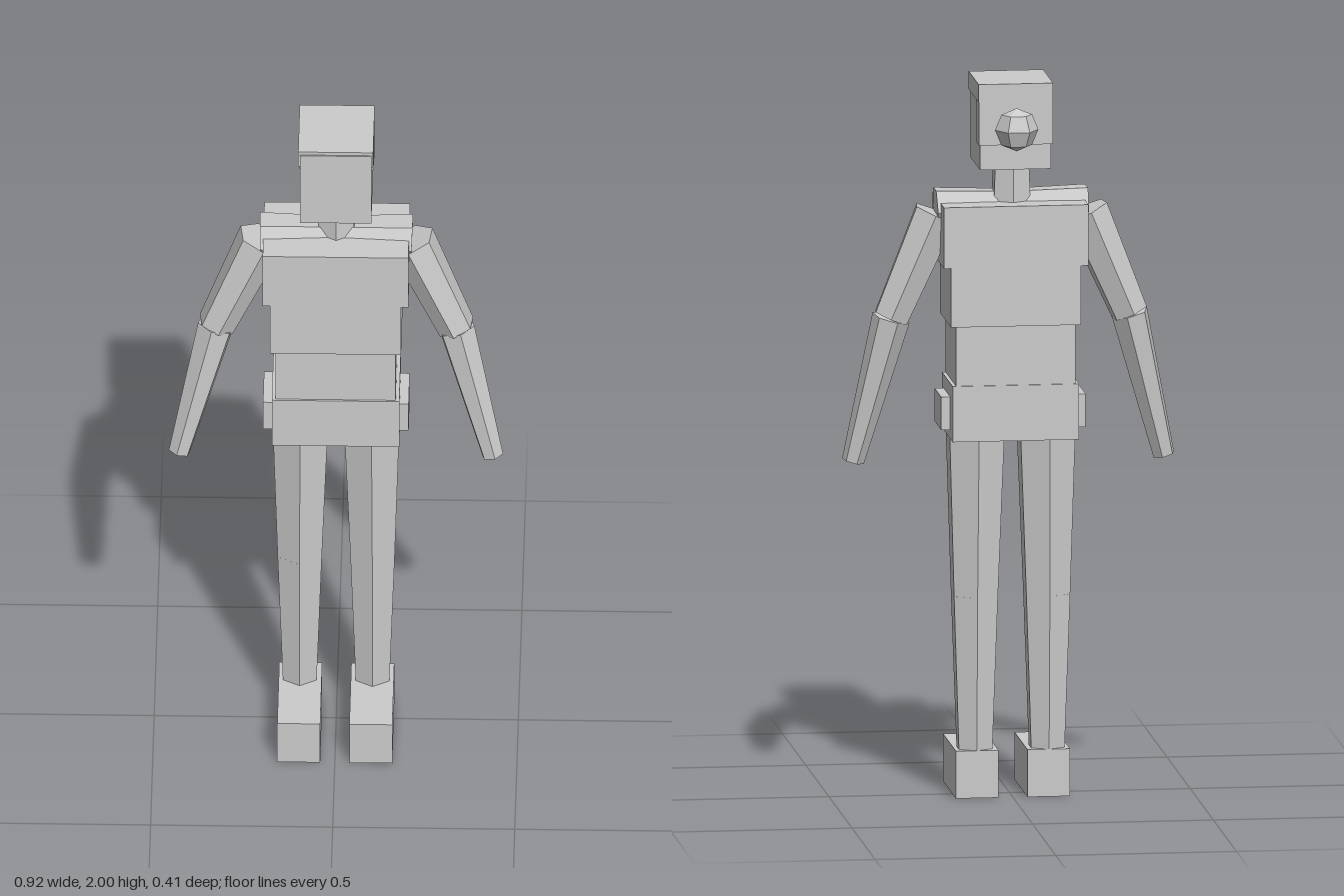
import * as THREE from 'three';

export function createModel() {
  const model = new THREE.Group();
  const grey = new THREE.MeshStandardMaterial({ color: 0xcccccc, flatShading: true });
  grey.name = 'light grey';

  const add = (name, geometry) => {
    const mesh = new THREE.Mesh(geometry, grey);
    mesh.name = name;
    model.add(mesh);
    return mesh;
  };

  // Box given by its [min, max] range on each axis
  const box = (name, [x0, x1], [y0, y1], [z0, z1]) =>
    add(name, new THREE.BoxGeometry(x1 - x0, y1 - y0, z1 - z0))
      .position.set((x0 + x1) / 2, (y0 + y1) / 2, (z0 + z1) / 2);

  // Tapered six-sided limb from a (radius ra) to b (radius rb), an edge facing front
  const limb = (name, a, ra, b, rb) => {
    const start = new THREE.Vector3(...a);
    const end = new THREE.Vector3(...b);
    const axis = end.clone().sub(start);
    const mesh = add(name, new THREE.CylinderGeometry(rb, ra, axis.length(), 6));
    mesh.position.copy(start).add(end).multiplyScalar(0.5);
    mesh.quaternion.setFromUnitVectors(new THREE.Vector3(0, 1, 0), axis.normalize());
  };

  // Head with hair slabs and bun
  box('head', [-0.098, 0.098], [1.76, 1.99], [-0.13, 0.082]);
  box('hairTop', [-0.103, 0.103], [1.95, 2], [-0.138, 0.078]);
  box('hairBack', [-0.102, 0.102], [1.83, 1.96], [-0.138, -0.07]);
  add('hairBun', new THREE.SphereGeometry(0.06, 6, 4)).position.set(0, 1.875, -0.155);

  // Neck and torso blocks
  limb('neck', [0, 1.62, -0.03], 0.06, [0, 1.78, -0.03], 0.053);
  box('chest', [-0.2, 0.2], [1.49, 1.66], [-0.145, 0.105]);
  box('ribs', [-0.18, 0.18], [1.325, 1.49], [-0.142, 0.102]);
  box('waist', [-0.165, 0.165], [1.16, 1.325], [-0.136, 0.09]);
  box('hips', [-0.175, 0.175], [1.005, 1.16], [-0.14, 0.096]);

  // Paired parts
  for (const s of [-1, 1]) {
    const side = s > 0 ? 'left' : 'right';
    limb(side + 'Collar', [0, 1.642, -0.026], 0.05, [s * 0.208, 1.635, -0.024], 0.065);
    limb(side + 'UpperArm', [s * 0.207, 1.625, -0.025], 0.066, [s * 0.33, 1.335, -0.017], 0.053);
    limb(side + 'Forearm', [s * 0.33, 1.335, -0.017], 0.053, [s * 0.43, 0.93, 0.025], 0.031);
    limb(side + 'Thigh', [s * 0.098, 1.03, -0.022], 0.088, [s * 0.1, 0.56, -0.022], 0.07);
    limb(side + 'Shin', [s * 0.1, 0.56, -0.022], 0.07, [s * 0.1, 0.12, -0.022], 0.053);
    const xs = (a, b) => (s > 0 ? [a, b] : [-b, -a]);
    box(side + 'Foot', xs(0.04, 0.158), [0, 0.132], [-0.075, 0.205]);
    box(side + 'Pouch', xs(0.165, 0.2), [1.03, 1.122], [-0.085, 0.055]);
  }
  return model;
}
